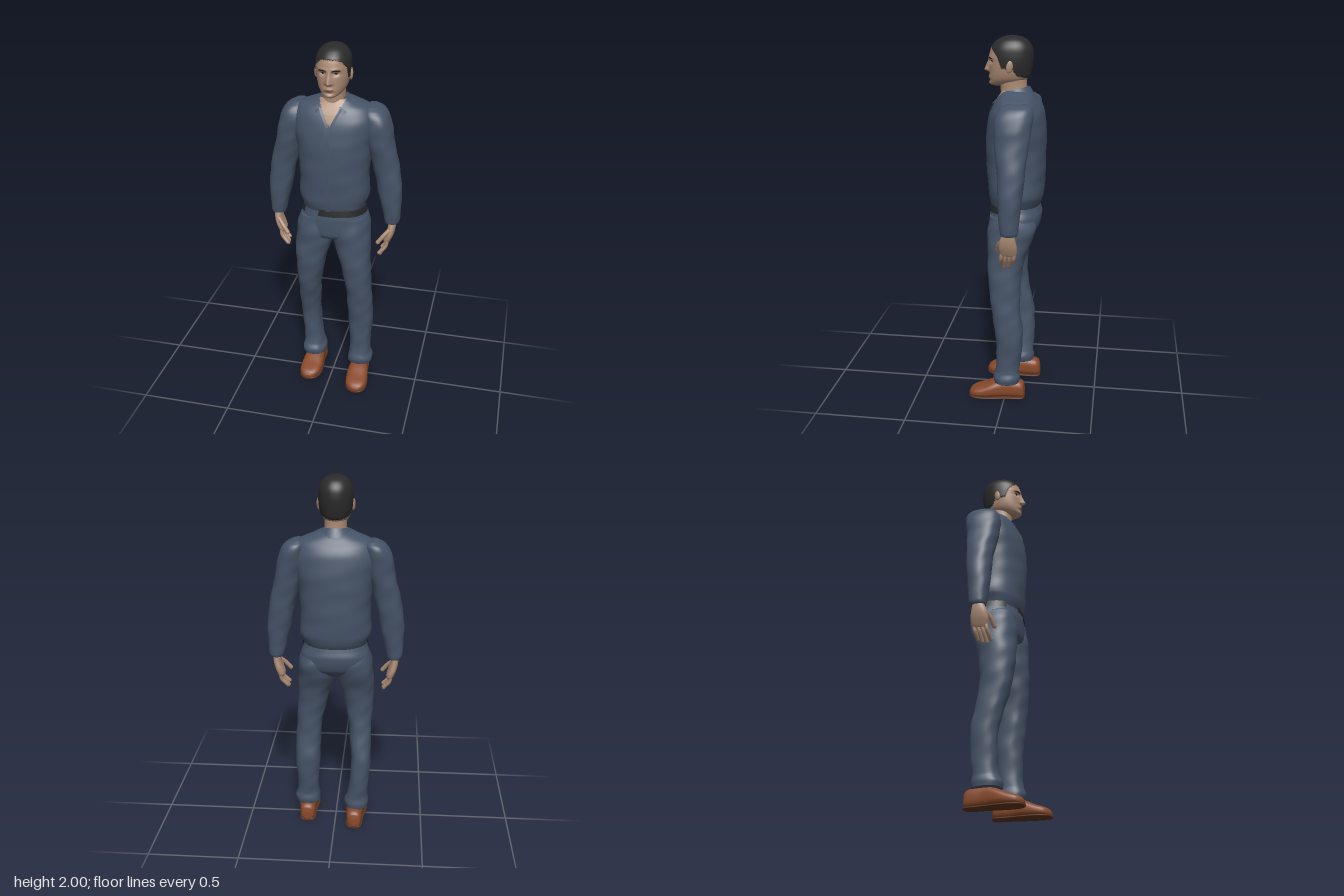
import * as THREE from 'three';

const mat = (name, color, side = THREE.FrontSide) => {
  const m = new THREE.MeshStandardMaterial({ color, side });
  m.name = name;
  return m;
};

// Hermite interpolation of section rows [main, x0, x1, d0, d1]
function rowAt(rows, m) {
  let i = 0;
  while (i < rows.length - 2 && m > rows[i + 1][0]) i++;
  const a = rows[i], b = rows[i + 1], p = rows[i - 1] || a, q = rows[i + 2] || b;
  const h = b[0] - a[0], t = THREE.MathUtils.clamp((m - a[0]) / h, 0, 1);
  return [1, 2, 3, 4].map((k) => {
    const s0 = (b[k] - p[k]) / (b[0] - p[0]) * h, s1 = (q[k] - a[k]) / (q[0] - a[0]) * h;
    const t2 = t * t, t3 = t2 * t;
    return (2 * t3 - 3 * t2 + 1) * a[k] + (t3 - 2 * t2 + t) * s0 + (3 * t2 - 2 * t3) * b[k] + (t3 - t2) * s1;
  });
}

// Point on a section's rounded outline at angle a
function outline(rows, m, a, power = 2.3, grow = 0) {
  const [x0, x1, d0, d1] = rowAt(rows, m);
  const e = (c) => Math.sign(c) * Math.abs(c) ** (2 / power);
  return [(x0 + x1) / 2 + ((x1 - x0) / 2 + grow) * e(Math.cos(a)),
    (d0 + d1) / 2 + ((d1 - d0) / 2 + grow) * e(Math.sin(a))];
}

// Front surface depth at a given x and height
function frontZ(rows, x, y, power = 2.3) {
  const [x0, x1, d0, d1] = rowAt(rows, y);
  const u = Math.min(1, Math.abs((x - (x0 + x1) / 2) / ((x1 - x0) / 2)));
  return (d0 + d1) / 2 + (d1 - d0) / 2 * (1 - u ** power) ** (1 / power);
}

// Closed skin through the rows; optional folds, sculpting rule and paint rule
function loft(rows, { n = 48, k = 6, power = 2.3, alongZ = false, folds = 0, move, paint } = {}) {
  const pos = [], faces = [], rings = (rows.length - 1) * k + 1;
  for (let i = 0; i < rings; i++) {
    const s = Math.min(Math.floor(i / k), rows.length - 2), f = i / k - s;
    const m = rows[s][0] + (rows[s + 1][0] - rows[s][0]) * f;
    const [x0, x1, d0, d1] = rowAt(rows, m);
    for (let j = 0; j < n; j++) {
      const a = j / n * Math.PI * 2;
      const w = folds * (Math.sin(m * 62 + 3 * a) * 0.6 + Math.sin(m * 37 - 2 * a + 1) + Math.sin(m * 14 + 5 * a) * 0.7);
      let [x, d] = outline(rows, m, a, power);
      x += (x - (x0 + x1) / 2) * w;
      d += (d - (d0 + d1) / 2) * w;
      const v = alongZ ? new THREE.Vector3(x, d, m) : new THREE.Vector3(x, m, d);
      if (move) move(v);
      pos.push(v);
    }
  }
  const face = (a, b, c) => faces.push(alongZ ? [a, c, b] : [a, b, c]);
  const centre = (r) => {
    const c = new THREE.Vector3();
    for (let j = 0; j < n; j++) c.addScaledVector(pos[r * n + j], 1 / n);
    return pos.push(c) - 1;
  };
  const low = centre(0), high = centre(rings - 1);
  for (let j = 0; j < n; j++) {
    const j1 = (j + 1) % n, top = (rings - 1) * n;
    face(low, j, j1);
    face(high, top + j1, top + j);
    for (let i = 0; i < rings - 1; i++) {
      const a = i * n + j, b = i * n + j1;
      face(a, a + n, b);
      face(b, a + n, b + n);
    }
  }
  const g = new THREE.BufferGeometry().setFromPoints(pos);
  if (paint) {
    const bins = [];
    for (const f of faces) {
      const c = new THREE.Vector3();
      f.forEach((i) => c.addScaledVector(pos[i], 1 / 3));
      (bins[paint(c)] ||= []).push(...f);
    }
    let start = 0;
    bins.forEach((b, i) => { g.addGroup(start, b.length, i); start += b.length; });
    g.setIndex(bins.flat());
  } else g.setIndex(faces.flat());
  g.computeVertexNormals();
  return g;
}

// Ribbon between two edges given by f(t)
function ribbon(n, f) {
  const pts = [], idx = [];
  for (let i = 0; i <= n; i++) {
    f(i / n).forEach((p) => pts.push(new THREE.Vector3(...p)));
    if (i < n) idx.push(2 * i, 2 * i + 1, 2 * i + 2, 2 * i + 1, 2 * i + 3, 2 * i + 2);
  }
  const g = new THREE.BufferGeometry().setFromPoints(pts);
  g.setIndex(idx);
  g.computeVertexNormals();
  return g;
}

const mirror = (rows) => rows.map(([m, x0, x1, a, b]) => [m, -x1, -x0, a, b]);
const bell = (d, w) => Math.exp(-((d / w) ** 2));
const sym = (list) => list.map(([m, r, a, b]) => [m, -r, r, a, b]);

export function createModel() {
  const root = new THREE.Group();
  const cloth = mat('blue cloth', 0x465367, THREE.DoubleSide), skin = mat('skin', 0xab8a74), hair = mat('black hair', 0x2a2a2a);
  const leather = mat('brown leather', 0x87492a), soleMat = mat('dark sole', 0x5a3220);
  const beltMat = mat('belt black', 0x26262a, THREE.DoubleSide), white = mat('eye white', 0xb9aca2), lip = mat('lips', 0x87594e);
  const add = (name, geo, material, parent = root) => {
    const m = new THREE.Mesh(geo, material);
    m.name = name;
    parent.add(m);
    return m;
  };

  // Shirt body with an open neckline
  const shirt = sym([[1.105, .166, -.168, .094], [1.13, .176, -.18, .1], [1.17, .19, -.191, .106], [1.25, .188, -.196, .112],
    [1.35, .189, -.199, .118], [1.45, .2, -.2, .118], [1.53, .214, -.198, .113], [1.6, .222, -.187, .098],
    [1.645, .21, -.17, .08], [1.675, .185, -.15, .062], [1.7, .125, -.13, .045], [1.72, .08, -.105, .035]]);
  const vHalf = (y) => Math.max(0, (y - 1.585) * .52);
  add('shirt', loft(shirt, { n: 128, k: 8, folds: .006,
    paint: (c) => (c.z > 0 && Math.abs(c.x) < vHalf(c.y) ? 1 : 0) }), [cloth, skin]);
  add('placket', ribbon(40, (t) => {
    const y = 1.59 - t * .48, x = -.008 + .004 * Math.sin(y * 40), z = frontZ(shirt, x, y) + .005;
    return [[x - .014, y, z], [x + .014, y, z]];
  }), cloth);
  add('collar', ribbon(48, (t) => {
    const u = t * 2 - 1, a = u * 2.62, s = Math.sin(a), c = Math.cos(a), r = Math.abs(u);
    return [[.07 * s, 1.742 - .04 * r * r, -.03 - .078 * c],
      [(.098 + .03 * r ** 6) * s, 1.698 - .055 * r ** 4, -.035 - (c < 0 ? .145 : .1) * c]];
  }), cloth);
  for (const s of [-1, 1]) add('necklineEdge', ribbon(12, (t) => {
    const y = 1.58 + t * .1, x = s * vHalf(y), z = frontZ(shirt, x, y);
    return [[x - s * .002, y, z + .003], [x + s * .013, y, z + .005]];
  }), cloth);

  // Trousers: pelvis, then the two legs in a slight stride
  const pelvis = sym([[.915, .06, -.09, .04], [.94, .14, -.13, .085], [.98, .188, -.165, .098], [1.05, .186, -.182, .1], [1.09, .172, -.172, .095], [1.13, .163, -.16, .088]]);
  add('trouserSeat', loft(pelvis, { n: 64, folds: .004 }), cloth);
  const thigh = [[.81, .033, .211, -.1, .1], [.92, .001, .207, -.14, .1], [1, -.003, .2, -.162, .099], [1.06, .005, .182, -.15, .09]];
  const legs = {
    left: [[.1, .09, .233, -.08, .058], [.13, .092, .235, -.085, .064], [.165, .1, .222, -.08, .055], [.23, .1, .22, -.087, .048],
      [.39, .09, .231, -.1, .055], [.5, .086, .228, -.085, .07], [.6, .079, .221, -.08, .082], [.7, .06, .216, -.085, .095], ...thigh],
    right: [[.1, -.19, -.056, -.128, .025], [.13, -.193, -.053, -.132, .028], [.165, -.185, -.066, -.128, .012], [.23, -.188, -.078, -.131, .004],
      [.39, -.2, -.09, -.132, .012], [.5, -.201, -.083, -.115, .04], [.6, -.201, -.075, -.095, .07], [.7, -.206, -.058, -.09, .09], ...mirror(thigh)],
  };
  for (const side in legs) add(side + 'TrouserLeg', loft(legs[side], { folds: .016, k: 9 }), cloth);

  // Belt, showing only where the shirt does not hang over it
  for (const [from, to] of [[-.1, 1.86], [2.45, 3.2]]) add('belt', ribbon(24, (t) => {
    const a = from + (to - from) * t;
    return [1.08, 1.116].map((y) => { const [x, z] = outline(pelvis, y, a, 2.3, .008); return [x, y, z]; });
  }), beltMat);

  // Shoes
  const shoe = [[-.112, .145, .18, .015, .06], [-.105, .128, .195, .006, .088], [-.08, .117, .204, .004, .104], [0, .115, .211, .004, .112],
    [.06, .107, .223, .004, .098], [.12, .106, .229, .004, .072], [.165, .115, .225, .004, .057], [.19, .135, .208, .006, .044], [.201, .155, .19, .012, .028]];
  const welt = shoe.map(([z, x0, x1]) => [z * 1.01, x0 - .002, x1 + .002, 0, .014]);
  for (const [side, shift, dx, dz] of [['left', (r) => r, 0, 0], ['right', mirror, .048, -.06]]) {
    const g = new THREE.Group();
    g.name = side + 'Shoe';
    g.position.set(dx, 0, dz);
    add('upper', loft(shift(shoe), { alongZ: true, power: 2.6 }), leather, g);
    add('sole', loft(shift(welt), { alongZ: true, power: 3 }), soleMat, g);
    root.add(g);
  }

  // Sleeves and hands
  const sleeve = [[1.02, .284, .356, -.087, 0], [1.035, .279, .361, -.092, .003], [1.1, .264, .366, -.096, .01], [1.2, .24, .367, -.107, .018],
    [1.3, .22, .357, -.117, .02], [1.4, .196, .336, -.127, .03], [1.5, .17, .313, -.138, .043], [1.56, .157, .303, -.147, .048],
    [1.62, .15, .286, -.15, .04], [1.655, .15, .26, -.143, .018], [1.674, .165, .225, -.12, -.01]];
  const palm = [[.9, .285, .312, -.075, .0], [.915, .278, .32, -.083, .008], [.95, .287, .334, -.085, .012], [.99, .299, .342, -.078, .004], [1.04, .3, .342, -.07, -.015]];
  for (const [side, s] of [['left', 1], ['right', -1]]) {
    const flip = s > 0 ? (r) => r : mirror;
    add(side + 'Sleeve', loft(flip(sleeve), { folds: .016, k: 8 }), cloth);
    const hand = new THREE.Group();
    hand.name = side + 'Hand';
    root.add(hand);
    add('palm', loft(flip(palm), { n: 32 }), skin, hand);
    const digit = (name, r, pts) => {
      const curve = new THREE.CatmullRomCurve3(pts.map(([x, y, z]) => new THREE.Vector3(s * x, y, z)));
      add(name, new THREE.TubeGeometry(curve, 14, r, 10), skin, hand);
      add(name + 'Tip', new THREE.SphereGeometry(r, 12, 8), skin, hand).position.copy(curve.getPoint(1));
    };
    for (let i = 0; i < 4; i++) {
      const z = -.07 + i * .022, low = [.85, .835, .83, .845][i];
      digit('finger', .0105, [[.302, .925, z], [.296, .885, z + .005], [.268 - .002 * i, low, z + .014]]);
    }
    digit('thumb', .012, [[.314, .985, -.005], [.285, .955, .015], [.256, .918, .026]]);
  }

  // Neck
  add('neck', loft(sym([[1.62, .075, -.11, .045], [1.68, .062, -.1, .042], [1.74, .058, -.095, .045], [1.8, .06, -.095, .05]])), skin);

  // Head: sculpted face, hair and features painted by region
  const head = sym([[1.742, .022, .02, .085], [1.748, .036, -.03, .097], [1.762, .055, -.075, .102], [1.785, .071, -.105, .102], [1.82, .081, -.117, .102],
    [1.86, .086, -.123, .102], [1.9, .087, -.125, .102], [1.94, .082, -.119, .09], [1.97, .066, -.1, .066], [1.987, .046, -.076, .04], [1.996, .024, -.048, .012], [2, .004, -.02, -.012]]);
  const hairEdge = [[-.14, 1.772], [-.05, 1.8], [-.03, 1.83], [.0, 1.835], [.03, 1.84], [.05, 1.898], [.085, 1.937], [.12, 1.945]];
  const isHair = ({ x, y, z }) => {
    const i = Math.max(1, hairEdge.findIndex((e) => z < e[0]));
    const [a, b] = [hairEdge[i - 1], hairEdge[i]];
    return y > a[1] + (b[1] - a[1]) * (z - a[0]) / (b[0] - a[0]) + .002 * Math.sin(x * 500 + z * 300);
  };
  const sculpt = (v) => {
    const ax = Math.abs(v.x), { y } = v;
    if (isHair(v)) { v.x *= 1.045; v.z += (v.z + .015) * .035; }
    if (v.z < .03) return;
    const bridge = THREE.MathUtils.clamp((1.89 - y) / .065, 0, 1) * THREE.MathUtils.smoothstep(y, 1.806, 1.822);
    v.z += .028 * bridge * bell(v.x, .009 + .007 * bridge)
      - .011 * bell(ax - .035, .018) * bell(y - 1.868, .011) + .004 * bell(y - 1.89, .009) * bell(ax - .03, .03)
      + .006 * bell(v.x, .024) * bell(y - 1.787, .01) - .004 * bell(v.x, .03) * bell(y - 1.771, .007)
      + .005 * bell(v.x, .025) * bell(y - 1.754, .01);
  };
  const features = (c) => {
    if (isHair(c)) return 1;
    if (c.z < .04) return 0;
    const ax = Math.abs(c.x), { y } = c, ex = ax - .035;
    if (Math.abs(ex) < .02 && Math.abs(y - 1.887 + ex * ex * 12) < .004) return 1;
    if (Math.hypot(ex, y - 1.868) < .0052) return 1;
    const eye = Math.hypot(ex / .015, (y - 1.868) / .0058);
    if (eye < 1) return y > 1.8705 ? 1 : 2;
    if (Math.hypot(c.x / .026, (y - 1.786) / .0065) < 1) return 3;
    return 0;
  };
  add('head', loft(head, { n: 160, k: 11, power: 2.15, move: sculpt, paint: features }), [skin, hair, white, lip]);
  for (const s of [-1, 1]) {
    const ear = add('ear', new THREE.SphereGeometry(1, 20, 14), skin);
    ear.scale.set(.009, .032, .018);
    ear.position.set(s * .09, 1.847, -.015);
    ear.rotation.set(-.15, s * .35, 0);
  }
  return root;
}
